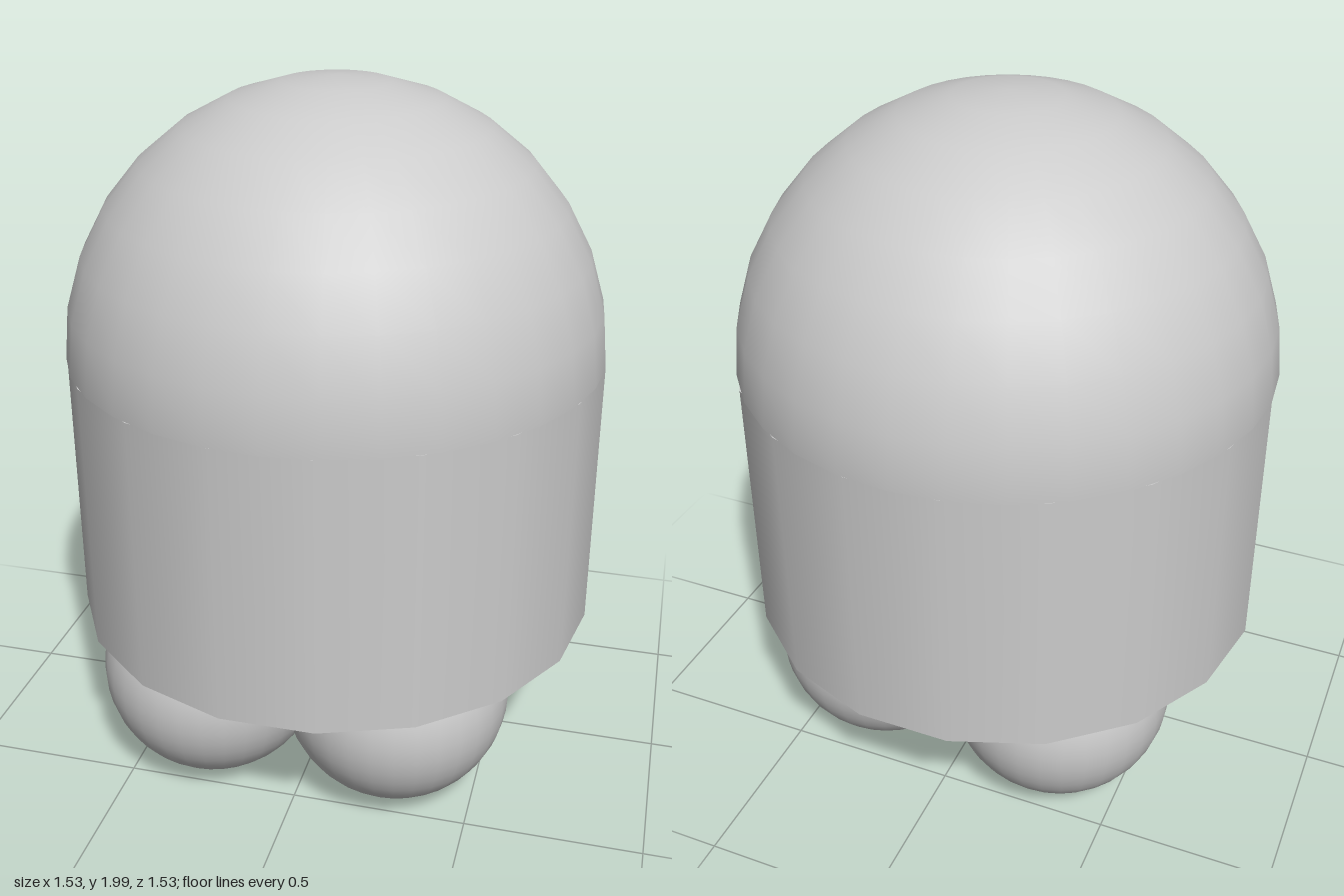
import * as THREE from 'three';

export function createModel() {
  const group = new THREE.Group();
  const grey = new THREE.MeshStandardMaterial({ color: 0xcccccc });
  const thin = new THREE.MeshStandardMaterial({ color: 0xcccccc, side: THREE.DoubleSide });

  function add(name, geometry, material, x, y, z) {
    const mesh = new THREE.Mesh(geometry, material);
    mesh.name = name;
    mesh.position.set(x, y, z);
    group.add(mesh);
    return mesh;
  }

  const radius = 0.765, bodyBottom = 0.44, bodyTop = 1.235;

  // Closed 18-sided body with smooth walls, corners on the x axis
  const body = add('body', new THREE.CylinderGeometry(radius, radius, bodyTop - bodyBottom, 18),
    grey, 0, (bodyTop + bodyBottom) / 2, 0);
  body.rotation.y = Math.PI / 2;

  // Half-sphere dome, open underneath where it meets the body
  add('dome', new THREE.SphereGeometry(radius, 32, 8, 0, Math.PI * 2, 0, Math.PI / 2),
    thin, 0, bodyTop, 0);

  // Four ball feet, set slightly unevenly
  const footGeometry = new THREE.SphereGeometry(0.325, 32, 24);
  const feet = [
    ['frontLeftFoot', 0.26, 0.33],
    ['frontRightFoot', -0.285, 0.335],
    ['backLeftFoot', 0.29, -0.27],
    ['backRightFoot', -0.29, -0.305],
  ];
  for (const [name, x, z] of feet) add(name, footGeometry, grey, x, 0.335, z);

  return group;
}
